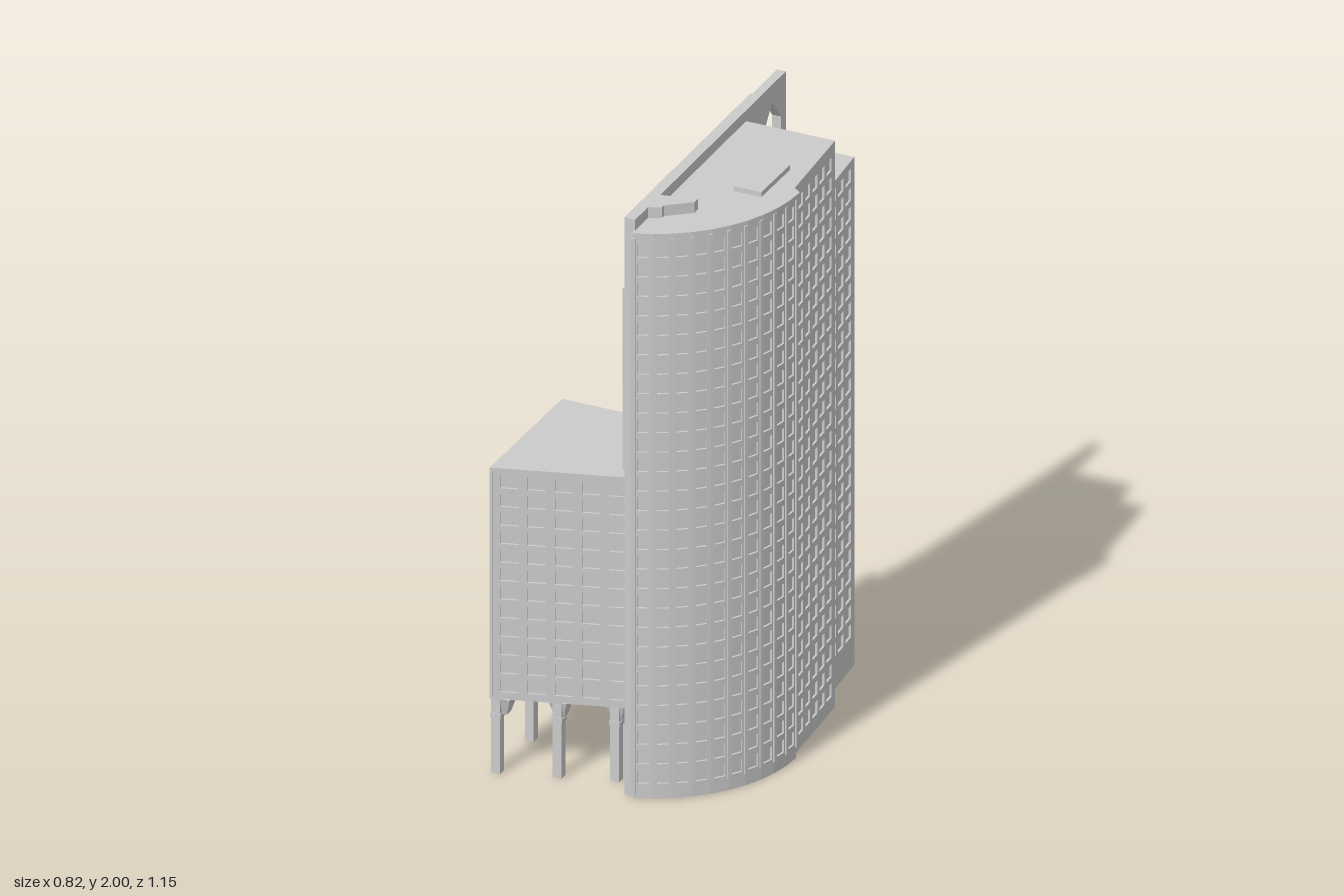
import * as THREE from 'three';
import { mergeGeometries } from 'three/addons/utils/BufferGeometryUtils.js';

const material = new THREE.MeshStandardMaterial({ color: 0xcccccc, flatShading: true });
const INSET = 0.008; // depth of the window recesses

function polygon(points) {
  return new THREE.Shape(points.map(([a, b]) => new THREE.Vector2(a, b)));
}

// Upright panel from p0 to p1 ([x, z], left to right seen from outside).
function panel(p0, p1, y0, y1, holes, thickness) {
  const dx = p1[0] - p0[0], dz = p1[1] - p0[1], length = Math.hypot(dx, dz);
  const shape = polygon([[0, y0], [length, y0], [length, y1], [0, y1]]);
  shape.holes = holes.map((h) => polygon([...h].reverse()));
  const g = new THREE.ExtrudeGeometry(shape, { depth: thickness, bevelEnabled: false });
  g.translate(0, 0, -thickness);
  g.rotateY(Math.atan2(-dz, dx));
  g.translate(p0[0], 0, p0[1]);
  return g;
}

// Wall with a grid of recessed windows and a backing plane behind them.
function windowWall(p0, p1, y0, y1, cols, rows, { side = 0.02, low = 0.02, high = 0.02, fill = 0.68 }) {
  const dx = p1[0] - p0[0], dz = p1[1] - p0[1], length = Math.hypot(dx, dz);
  const holes = [];
  const pu = (length - 2 * side) / cols, pv = (y1 - y0 - low - high) / rows;
  for (let c = 0; c < cols; c++) {
    for (let r = 0; r < rows; r++) {
      const u = side + (c + 0.5) * pu, v = y0 + low + (r + 0.5) * pv;
      const w = pu * fill / 2, h = pv * 0.34;
      holes.push([[u - w, v - h], [u + w, v - h], [u + w, v + h], [u - w, v + h]]);
    }
  }
  const back = new THREE.PlaneGeometry(length, y1 - y0).toNonIndexed();
  back.translate(length / 2, (y0 + y1) / 2, -INSET * 0.9);
  back.rotateY(Math.atan2(-dz, dx));
  back.translate(p0[0], 0, p0[1]);
  return [panel(p0, p1, y0, y1, holes, INSET), back];
}

// Solid with an [x, z] footprint.
function prism(points, y0, y1) {
  const g = new THREE.ExtrudeGeometry(polygon(points.map(([x, z]) => [x, -z])), { depth: y1 - y0, bevelEnabled: false });
  g.rotateX(-Math.PI / 2);
  g.translate(0, y0, 0);
  return g;
}

// Windowed block: cols[i] is the number of window columns on the edge after point i,
// optionsFor(i) gives that edge's window margins.
function block(points, y0, y1, cols, rows, optionsFor) {
  const parts = [prism(points, y0, y0 + 0.01), prism(points, y1 - 0.01, y1)];
  points.forEach((p, i) => {
    const q = points[(i + 1) % points.length];
    parts.push(...windowWall(p, q, y0 + 0.01, y1 - 0.01, cols[i], rows, optionsFor(i)));
  });
  return mergeGeometries(parts);
}

export function createModel() {
  const group = new THREE.Group();
  const add = (name, geometry) => {
    const mesh = new THREE.Mesh(geometry, material);
    mesh.name = name;
    group.add(mesh);
  };

  // Main tower: curved front and side, flat right and back faces
  const BAYS = 10;
  const arcAngle = (i) => (1 - i / BAYS) * 1.26;
  const arc = (radius) => Array.from({ length: BAYS + 1 }, (_, i) =>
    [-0.088 + radius * Math.cos(arcAngle(i)), 0.07 + radius * Math.sin(arcAngle(i))]);
  const straightSides = [[0.381, 0.05], [0.355, -0.29], [0.05, -0.29], [0.05, 0.5]];
  const towerCols = [...Array(BAYS).fill(1), 0, 5, 4, 0, 0];
  add('mainTower', block([...arc(0.483), ...straightSides], 0, 1.95, towerCols, 28, (i) =>
    i < BAYS ? { side: 0.006, low: 0.03, high: 0.01, fill: 0.74 } : { low: 0.03, high: 0.01 }));

  // Thin ribs between the curved window bays
  const ribs = arc(0.484).map(([x, z], i) => {
    const g = new THREE.BoxGeometry(0.012, 1.9, 0.008);
    g.rotateY(Math.PI / 2 - arcAngle(i));
    return g.translate(x, 0.99, z);
  });
  add('curvedFacadeRibs', mergeGeometries(ribs));

  // Roof with a curved overhang, and roof structures
  add('roofOverhang', prism([...arc(0.496), ...straightSides], 1.948, 1.963));
  add('roofBox', prism([[0.22, 0.15], [0.315, 0.15], [0.315, -0.055], [0.22, -0.055]], 1.96, 1.98));
  add('roofPlantRoom', prism([[0.055, 0.43], [0.1, 0.41], [0.1, 0.395], [0.175, 0.335], [0.175, 0.31], [0.055, 0.337]], 1.96, 2));

  // Tall spine wall with a pointed opening near the back
  const opening = [[0.94, 1.76], [1.065, 1.76], [1.065, 1.86], [1.0, 1.94], [0.94, 1.86]];
  add('spineWall', panel([0.062, 0.52], [0.047, -0.58], 0, 2, [opening], 0.03));
  add('spineWindows', mergeGeometries(
    windowWall([0.013, -0.4], [0.025, 0.52], 0, 2, 15, 28, { low: 0.05, high: 0.05 })));

  // Rear block, slightly lower than the tower
  const rearPlan = [[0.05, -0.298], [0.125, -0.298], [0.147, -0.335], [0.308, -0.332], [0.285, -0.572], [0.05, -0.572]];
  add('rearBlock', block(rearPlan, 0, 1.76, [0, 0, 0, 3, 4, 0], 25, () => ({ low: 0.09, high: 0.005 })));

  // Stepped bays climbing along the spine wall: back z, front z, top, outer x, window columns
  const steps = [
    [-0.575, -0.44, 0.69, -0.035, 2], [-0.44, -0.31, 0.94, -0.02, 2], [-0.31, -0.15, 1.19, -0.035, 2],
    [-0.15, -0.04, 1.44, -0.035, 2], [-0.04, 0.23, 1.69, -0.02, 4], [0.23, 0.41, 1.69, -0.035, 3],
  ];
  steps.forEach(([z0, z1, top, x, cols], i) => {
    const plan = [[x, z1], [0.03, z1], [0.03, z0], [x, z0]];
    add('steppedBay' + (i + 1), block(plan, 0, top, [0, 0, 0, cols], Math.round(top / 0.067),
      () => ({ side: 0.015, low: 0.03, high: 0.01 })));
  });

  // Side wing raised on posts
  const wingPlan = [[-0.41, 0.573], [0.035, 0.44], [0.02, 0.06], [-0.41, 0.06]];
  add('sideWing', block(wingPlan, 0.26, 1.06, [5, 0, 5, 6], 12, () => ({ low: 0.005, high: 0.005 })));

  // Posts with flared heads, kept inside the outer faces of the wing
  const posts = [[-0.394, 0.077], [-0.394, 0.31], [-0.394, 0.55], [-0.055, 0.077], [-0.04, 0.44], [-0.21, 0.495]];
  posts.forEach(([x, z]) => {
    const shaft = new THREE.BoxGeometry(0.03, 0.265, 0.03).translate(x, 0.1325, z);
    const collar = new THREE.BoxGeometry(0.036, 0.015, 0.036).translate(x, 0.2, z);
    const head = new THREE.CylinderGeometry(0.045, 0.021, 0.06, 4).rotateY(Math.PI / 4);
    head.translate(x + (x < -0.3 ? 0.016 : 0), 0.232, z + (z < 0.1 ? 0.016 : z > 0.4 ? -0.016 : 0));
    add('wingPost', mergeGeometries([shaft, collar, head]));
  });

  return group;
}
